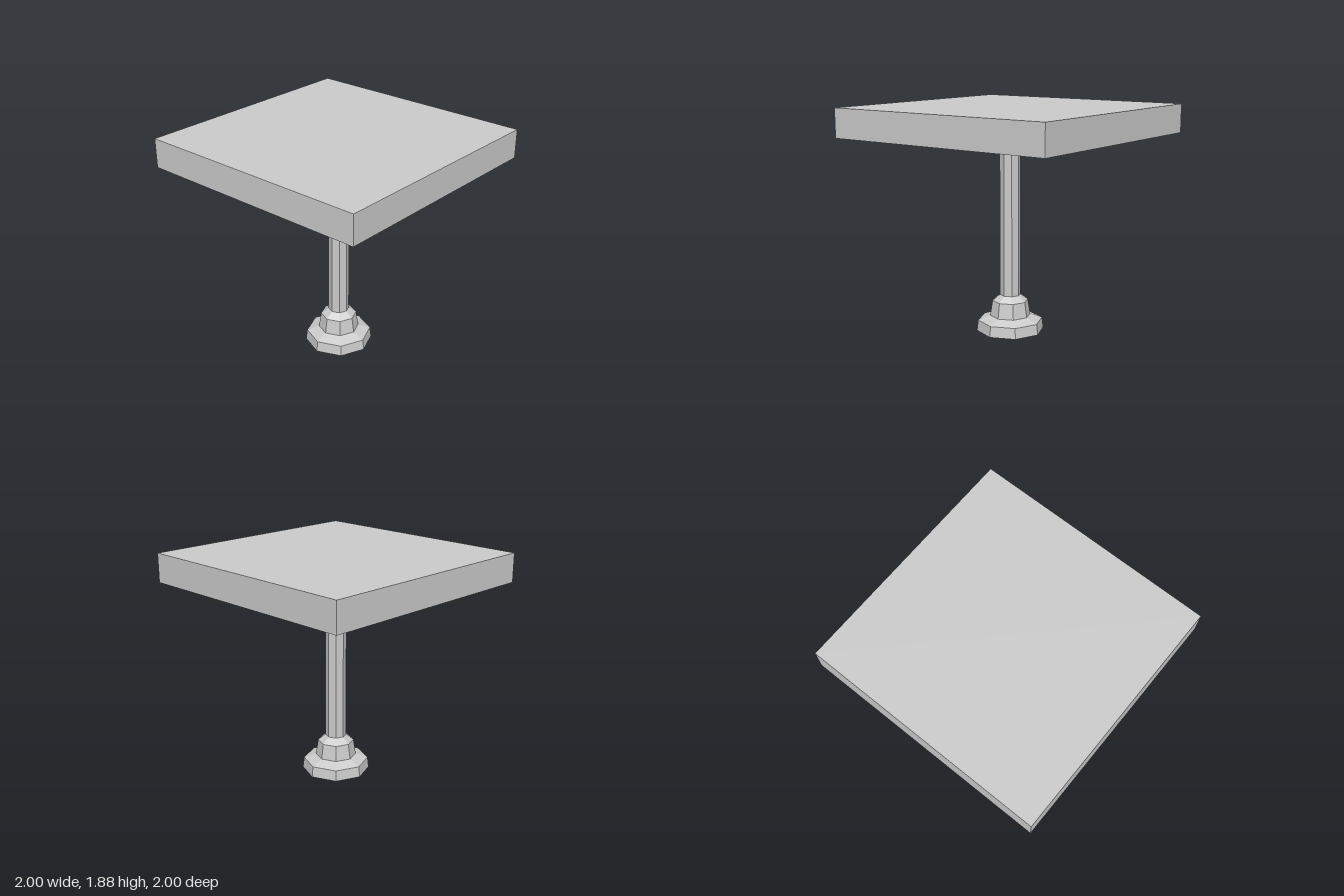
import * as THREE from 'three';

const material = new THREE.MeshStandardMaterial({ color: 0xcccccc, flatShading: true });

// Eight-sided turned part from [radius, height] pairs, bottom to top
function turned(name, profile) {
  const points = profile.map(([r, y]) => new THREE.Vector2(r, y));
  const mesh = new THREE.Mesh(new THREE.LatheGeometry(points, 8), material);
  mesh.name = name;
  return mesh;
}

export function createModel() {
  const model = new THREE.Group();
  model.name = 'pedestalTable';

  // Thick square slab
  const top = new THREE.Mesh(new THREE.BoxGeometry(2, 0.24, 2), material);
  top.name = 'tableTop';
  top.position.y = 1.76;
  model.add(top);

  // Pedestal, standing slightly off the centre of the slab
  const pedestal = new THREE.Group();
  pedestal.name = 'pedestal';
  pedestal.position.set(-0.015, 0, 0.018);
  pedestal.add(
    turned('foot', [
      [0, 0], [0.283, 0], [0.272, 0.09], [0.17, 0.128],
      [0.15, 0.257], [0.086, 0.305],
    ]),
    turned('column', [[0.086, 0.305], [0.086, 1.555]]),
    turned('topBracket', [[0, 1.555], [0.274, 1.555], [0.3, 1.642], [0, 1.642]]),
  );
  model.add(pedestal);

  return model;
}
